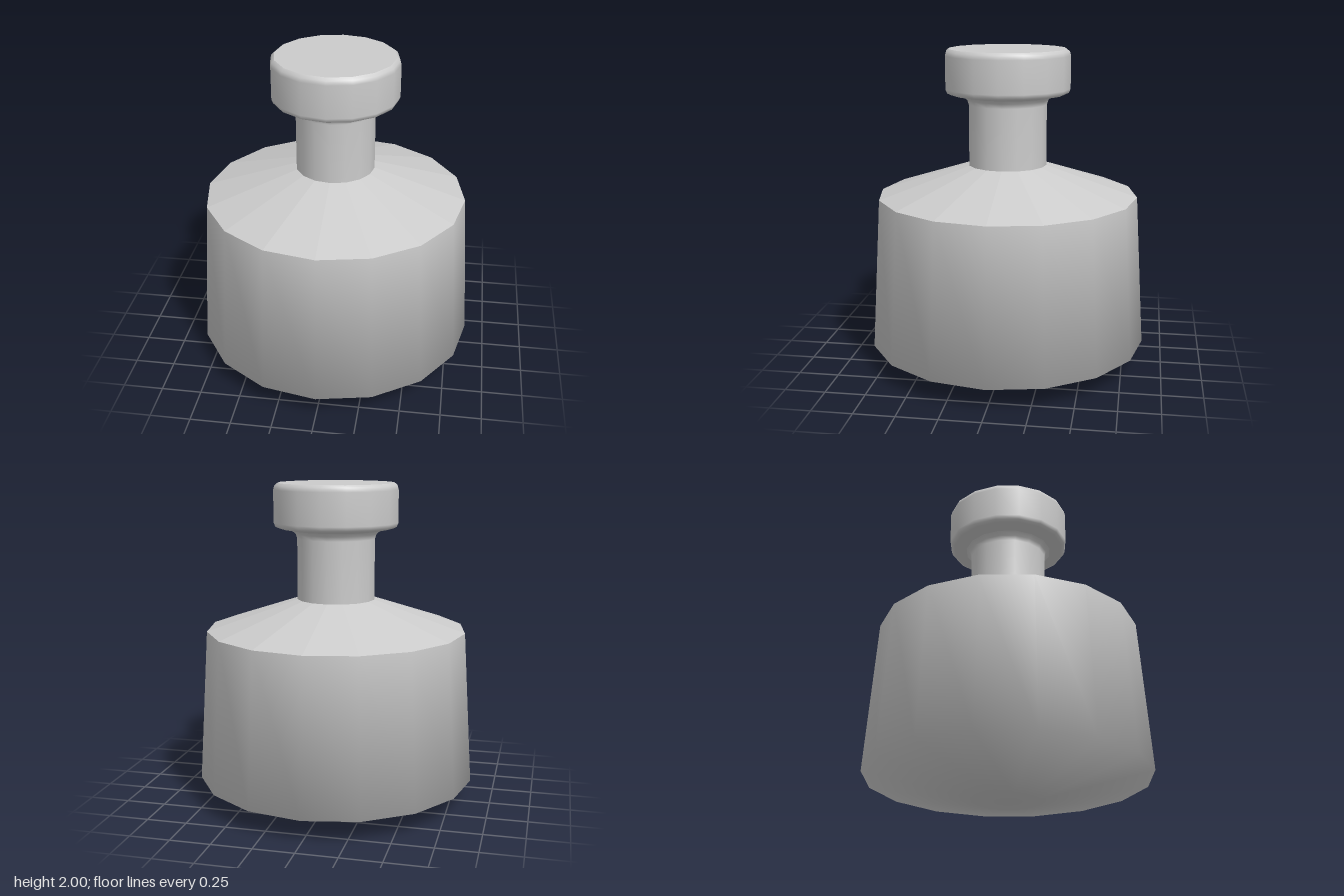
import * as THREE from 'three';

const SIDES = 16;

// Smooth or faceted ring of revolution from [radius, height] pairs, listed bottom to top
function turned(name, profile, flatShading = false) {
  const points = profile.map(([r, y]) => new THREE.Vector2(r, y));
  const material = new THREE.MeshStandardMaterial({ color: 0xcccccc, flatShading });
  const mesh = new THREE.Mesh(new THREE.LatheGeometry(points, SIDES), material);
  mesh.name = name;
  return mesh;
}

export function createModel() {
  const bottle = new THREE.Group();
  bottle.name = 'bottle';

  // Shallow pointed base blending softly into the tapered wall
  bottle.add(turned('body', [[0, 0], [0.17, 0], [0.875, 0.14], [0.815, 1.09]]));

  // Faceted sloping shoulder with sharp edges
  bottle.add(turned('shoulder', [[0.815, 1.09], [0.245, 1.28]], true));

  // Straight neck flaring out under the stopper
  bottle.add(turned('neck', [[0.245, 1.28], [0.245, 1.66], [0.255, 1.69], [0.28, 1.71]]));

  // Wide stopper with rounded rims
  bottle.add(turned('stopper', [
    [0.28, 1.71], [0.36, 1.725], [0.38, 1.735], [0.39, 1.76],
    [0.39, 1.96], [0.383, 1.985], [0.365, 2],
  ]));
  bottle.add(turned('stopperTop', [[0.365, 2], [0, 2]]));

  return bottle;
}
